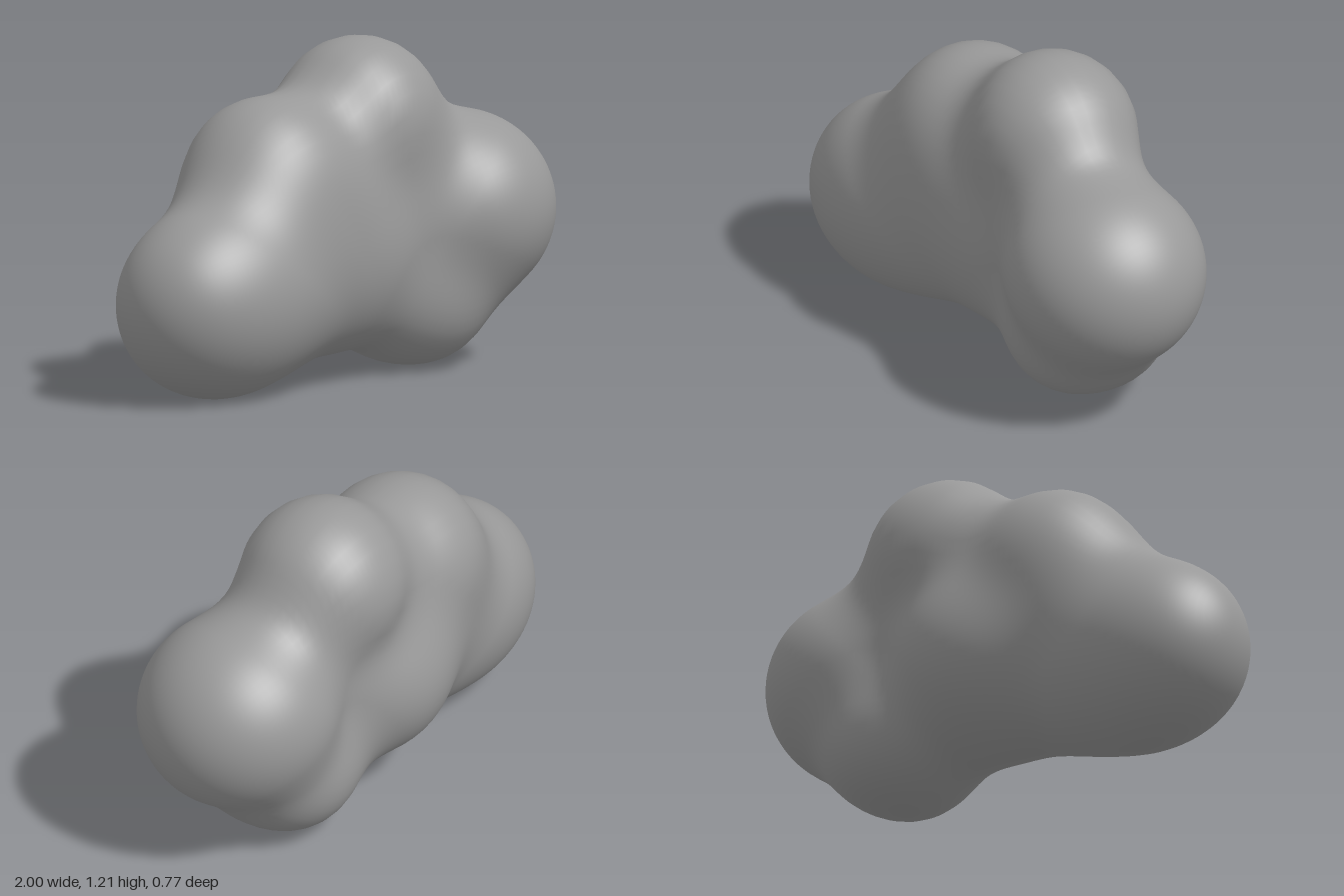
import * as THREE from 'three';

// Puffs of the cloud: centre, then radii along x, y, z
const puffs = [
  [-0.66, 0.345, 0.065, 0.34, 0.335, 0.305], // left end
  [-0.42, 0.4, 0.05, 0.29, 0.325, 0.265], // bridge from left end to belly
  [0.63, 0.555, 0.02, 0.37, 0.355, 0.36], // right end
  [0.205, 0.9, -0.037, 0.31, 0.31, 0.3], // crown
  [-0.27, 0.735, -0.02, 0.305, 0.305, 0.3], // upper left shoulder
  [-0.02, 0.45, 0.01, 0.43, 0.35, 0.275], // belly
  [0.02, 0.43, -0.12, 0.25, 0.25, 0.25], // back bulge
  [0.44, 0.21, 0.07, 0.2, 0.17, 0.17], // lower front
  [0.44, 0.22, -0.11, 0.2, 0.175, 0.175], // lower back
];
const BLEND = 0.2;

// Distance to the softly merged puffs
function distance(p) {
  let d = Infinity;
  for (const [x, y, z, rx, ry, rz] of puffs) {
    const e = (Math.hypot((p.x - x) / rx, (p.y - y) / ry, (p.z - z) / rz) - 1) * Math.min(rx, ry, rz);
    const h = Math.max(BLEND - Math.abs(d - e), 0) / BLEND;
    d = Math.min(d, e) - h * h * BLEND / 4;
  }
  return d;
}

// Outermost surface point on a ray from the spine
function surfacePoint(origin, dir) {
  const at = (t) => origin.clone().addScaledVector(dir, t);
  let out = 1.1;
  while (out > 0.03 && distance(at(out - 0.02)) > 0) out -= 0.02;
  let inn = out - 0.02;
  for (let i = 0; i < 10; i++) {
    const mid = (inn + out) / 2;
    if (distance(at(mid)) > 0) out = mid; else inn = mid;
  }
  return at(out);
}

function surfaceNormal(p) {
  const e = 0.012;
  const slope = (axis) => {
    const a = p.clone(), b = p.clone();
    a[axis] += e;
    b[axis] -= e;
    return distance(a) - distance(b);
  };
  return new THREE.Vector3(slope('x'), slope('y'), slope('z')).normalize();
}

export function createModel() {
  const group = new THREE.Group();
  group.name = 'cloud';
  const cloudGrey = new THREE.MeshStandardMaterial({ color: 0x999999 });
  cloudGrey.name = 'cloud grey';

  // A capsule lying along x, its skin moved out to the merged puffs
  const geometry = new THREE.CapsuleGeometry(1, 2, 20, 72, 50);
  geometry.rotateZ(-Math.PI / 2);
  const pos = geometry.attributes.position, nor = geometry.attributes.normal;
  const left = new THREE.Vector3(-0.64, 0.36, 0.07), right = new THREE.Vector3(0.62, 0.55, 0.02);
  const p = new THREE.Vector3(), dir = new THREE.Vector3();
  for (let i = 0; i < pos.count; i++) {
    p.fromBufferAttribute(pos, i);
    dir.fromBufferAttribute(nor, i).normalize();
    const origin = left.clone().lerp(right, (p.x - dir.x + 1) / 2);
    const s = surfacePoint(origin, dir);
    const n = surfaceNormal(s);
    pos.setXYZ(i, s.x, s.y, s.z);
    nor.setXYZ(i, n.x, n.y, n.z);
  }

  const body = new THREE.Mesh(geometry, cloudGrey);
  body.name = 'cloudBody';
  group.add(body);
  return group;
}
